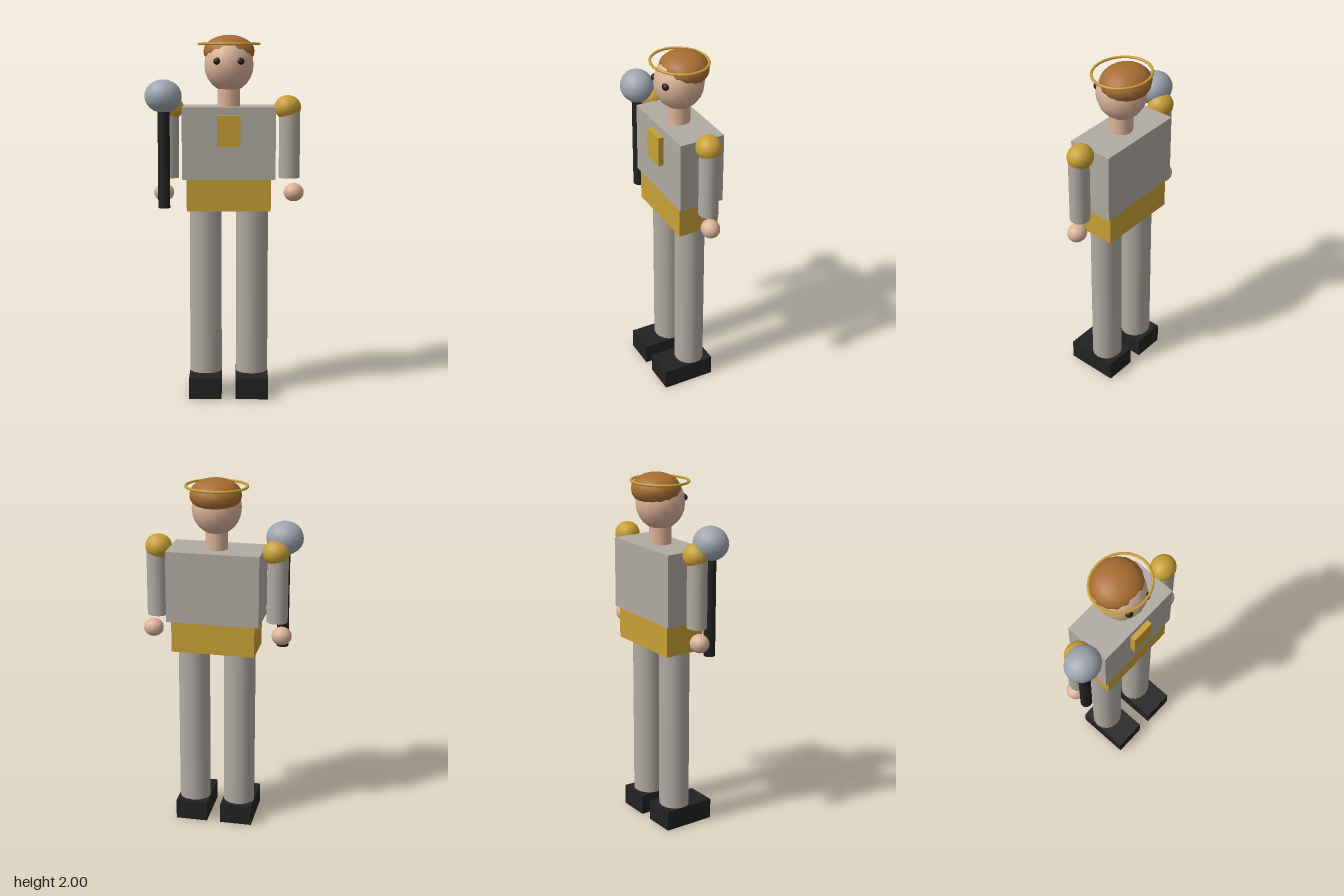
import * as THREE from 'three';

const paint = (name, color) => {
  const m = new THREE.MeshStandardMaterial({ color });
  m.name = name;
  return m;
};

export function createModel() {
  const cloth = paint('grey cloth', 0xb0aba2);
  const gold = paint('gold', 0xc8a036);
  const skin = paint('skin', 0xdcb398);
  const hairBrown = paint('brown hair', 0xa86d32);
  const steel = paint('steel', 0x9fa5b0);
  const black = paint('black', 0x222222);

  // The body's own middle lies slightly beside the origin
  const CX = 0.02, CZ = -0.018;
  const model = new THREE.Group();
  model.name = 'figure';

  const add = (name, geometry, material, x, y, z) => {
    const mesh = new THREE.Mesh(geometry, material);
    mesh.name = name;
    mesh.position.set(x, y, z);
    model.add(mesh);
    return mesh;
  };
  const box = (name, mat, w, h, d, x, y, z) =>
    add(name, new THREE.BoxGeometry(w, h, d), mat, x, y, z);
  const ball = (name, mat, rx, ry, rz, x, y, z) =>
    add(name, new THREE.SphereGeometry(1, 16, 12).scale(rx, ry, rz), mat, x, y, z);
  const post = (name, mat, rx, rz, y0, y1, x, z) =>
    add(name, new THREE.CylinderGeometry(1, 1, y1 - y0, 16).scale(rx, 1, rz), mat, x, (y0 + y1) / 2, z);

  // Torso, belt and chest plate
  box('torso', cloth, 0.51, 0.395, 0.254, CX, 1.4125, -0.02);
  box('belt', gold, 0.46, 0.175, 0.234, CX, 1.1275, CZ);
  box('chestPlate', gold, 0.127, 0.167, 0.04, CX, 1.4835, 0.117);

  // Limbs, mirrored about the body's middle
  for (const [side, s] of [['left', 1], ['right', -1]]) {
    post(side + 'Leg', cloth, 0.089, 0.082, 0.11, 1.045, CX + s * 0.129, -0.016);
    box(side + 'Foot', black, 0.18, 0.115, 0.298, CX + s * 0.129, 0.0575, 0.029);
    post(side + 'Arm', cloth, 0.058, 0.053, 1.215, 1.6, CX + s * 0.334, -0.016);
    ball(side + 'Shoulder', gold, 0.074, 0.068, 0.068, CX + s * 0.323, 1.603, CZ);
    ball(side + 'Hand', skin, 0.056, 0.051, 0.051, CX + s * 0.36, 1.133, -0.016);
    ball(side + 'Eye', black, 0.022, 0.02, 0.02, CX + s * 0.062, 1.857, 0.092);
  }

  // Neck, head and hair
  post('neck', skin, 0.062, 0.06, 1.6, 1.73, CX, CZ);
  ball('head', skin, 0.135, 0.148, 0.135, CX, 1.836, CZ);
  ball('hair', hairBrown, 0.141, 0.089, 0.133, CX, 1.909, -0.046);

  // Halo ring around the top of the head
  const ring = new THREE.TorusGeometry(0.15, 0.007, 8, 24).rotateX(Math.PI / 2).scale(1.1, 1, 1);
  add('halo', ring, gold, CX, 1.95, -0.02);

  // Mace held in the right hand
  post('maceShaft', black, 0.033, 0.031, 1.054, 1.66, -0.336, 0.052);
  ball('maceHead', steel, 0.102, 0.091, 0.092, -0.338, 1.668, 0.052);

  return model;
}
